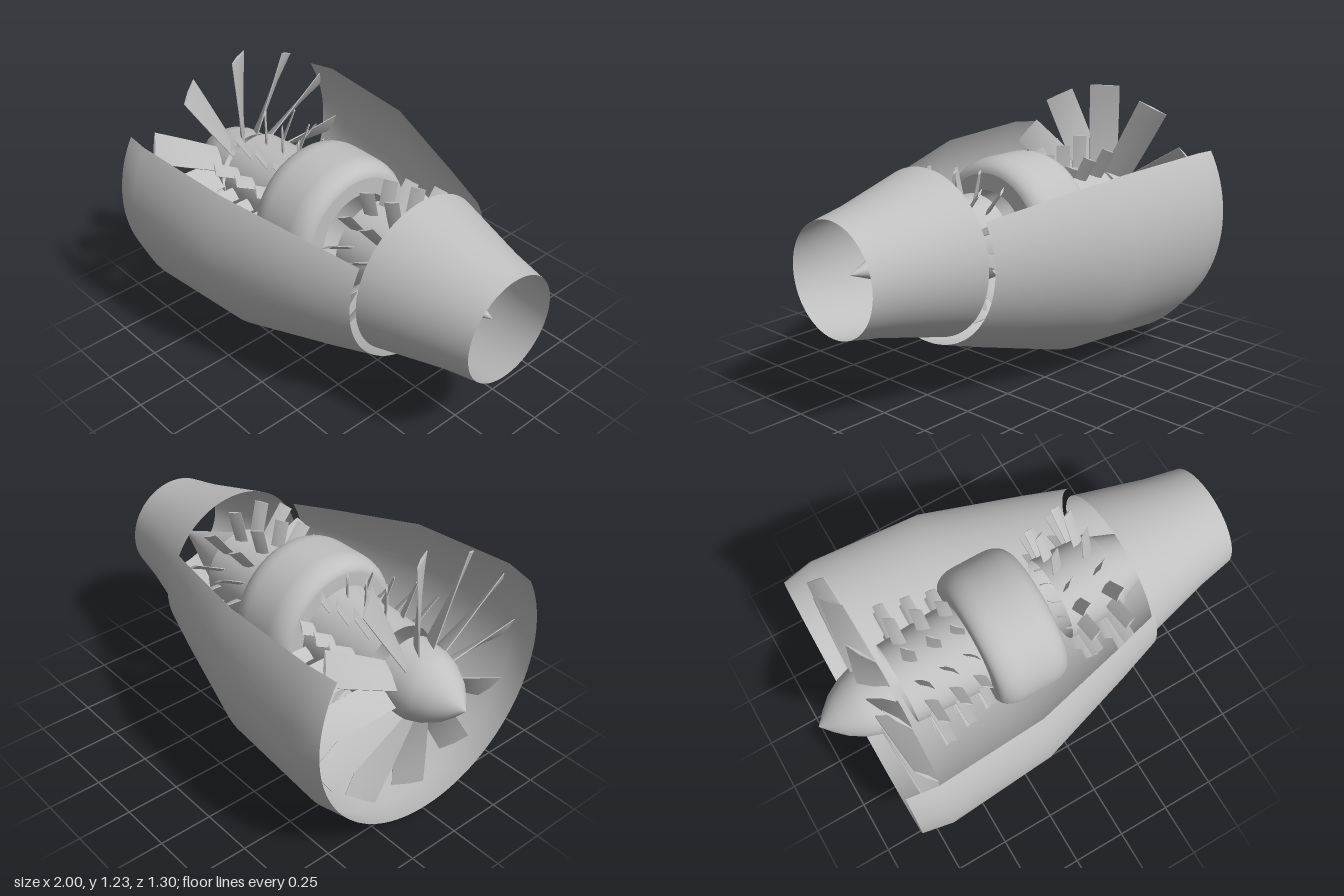
import * as THREE from 'three';

const AXIS_Y = 0.653;
const metal = new THREE.MeshStandardMaterial({ color: 0xc0c0c0, side: THREE.DoubleSide });
metal.name = 'grey metal';

// Surface of revolution about the engine axis; profile is a list of [x, radius]
function revolve(name, profile, start = 0, sweep = Math.PI * 2) {
  const pts = profile.map(([x, r]) => new THREE.Vector2(r, x));
  const mesh = new THREE.Mesh(new THREE.LatheGeometry(pts, 72, start, sweep), metal);
  mesh.rotation.z = -Math.PI / 2;
  mesh.name = name;
  return mesh;
}

// Twisted blade along +y: pitch is the chord's angle from the engine axis, [root, tip]
function bladeGeometry({ root, tip, chord, pitch, thick }) {
  const geo = new THREE.BoxGeometry(1, 1, 1, 2, 6, 1);
  const p = geo.attributes.position;
  for (let i = 0; i < p.count; i++) {
    const t = p.getY(i) + 0.5;
    const u = p.getX(i);
    const c = u * THREE.MathUtils.lerp(chord[0], chord[1], t);
    const w = p.getZ(i) * thick * (1 - 1.6 * Math.abs(u)) * (1 - 0.4 * t);
    const a = THREE.MathUtils.lerp(pitch[0], pitch[1], t);
    p.setXYZ(i, c * Math.cos(a) - w * Math.sin(a),
      THREE.MathUtils.lerp(root, tip, t),
      c * Math.sin(a) + w * Math.cos(a));
  }
  geo.computeVertexNormals();
  return geo;
}

// Ring of equal blades around the axis
function bladeRing(name, x, count, offset, options) {
  const ring = new THREE.Group();
  ring.name = name;
  ring.position.x = x;
  const geo = bladeGeometry(options);
  for (let i = 0; i < count; i++) {
    const blade = new THREE.Mesh(geo, metal);
    blade.name = name + 'Blade';
    blade.rotation.x = (i + offset) * Math.PI * 2 / count;
    ring.add(blade);
  }
  return ring;
}

export function createModel() {
  const model = new THREE.Group();
  model.name = 'jetEngineCutaway';
  const engine = new THREE.Group();
  engine.name = 'engine';
  engine.position.y = AXIS_Y;
  model.add(engine);

  // Outer cowl with the upper third cut away
  engine.add(revolve('cowl',
    [[-0.83, 0.625], [-0.69, 0.652], [-0.18, 0.617], [0.28, 0.475], [0.49, 0.405]],
    -Math.PI / 2 + Math.PI / 3, Math.PI * 4 / 3));

  // Exhaust nozzle and tail cone
  engine.add(revolve('nozzle', [[0.49, 0.37], [0.83, 0.28], [1, 0.247]]));
  engine.add(revolve('tailCone', [[0.46, 0.172], [0.91, 0]]));

  // Spinner and fan
  engine.add(revolve('spinner',
    [[-1, 0], [-0.95, 0.056], [-0.9, 0.102], [-0.83, 0.143], [-0.77, 0.163], [-0.66, 0.172]]));
  engine.add(bladeRing('fan', -0.71, 12, 0,
    { root: 0.14, tip: 0.575, chord: [0.14, 0.143], pitch: [0.6, 1.06], thick: 0.024 }));

  // Compressor drum and its three stages
  engine.add(revolve('compressorDrum', [[-0.61, 0.194], [-0.25, 0.215]]));
  [[-0.525, 0.353], [-0.405, 0.325], [-0.29, 0.298]].forEach(([x, tip], i) => {
    engine.add(bladeRing('compressorStage' + (i + 1), x, 12, 0,
      { root: 0.19, tip, chord: [0.064, 0.064], pitch: [0.6, 0.8], thick: 0.014 }));
  });

  // Combustion chamber: hollow ring with rounded shoulders
  const chamber = [[-0.25, 0.21], [-0.25, 0.275]];
  for (let i = 1; i <= 6; i++) {
    const a = i / 6 * Math.PI / 2;
    chamber.push([-0.15 - 0.1 * Math.cos(a), 0.275 + 0.062 * Math.sin(a)]);
  }
  for (let i = 0; i <= 6; i++) {
    const a = i / 6 * Math.PI / 2;
    chamber.push([0.1 * Math.sin(a), 0.275 + 0.062 * Math.cos(a)]);
  }
  engine.add(revolve('combustionChamber', chamber));
  engine.add(revolve('chamberRearFace', [[0.1, 0.275], [0.1, 0.2]]));
  engine.add(revolve('chamberLiner', [[-0.25, 0.21], [0.1, 0.2]]));

  // Turbine drum and its two stages
  engine.add(revolve('turbineDrum', [[0.18, 0.2], [0.46, 0.19]]));
  [[0.235, 0.325], [0.39, 0.357]].forEach(([x, tip], i) => {
    engine.add(bladeRing('turbineStage' + (i + 1), x, 14, 0.5,
      { root: 0.185, tip, chord: [0.064, 0.064], pitch: [-0.45, -0.6], thick: 0.018 }));
  });

  return model;
}
